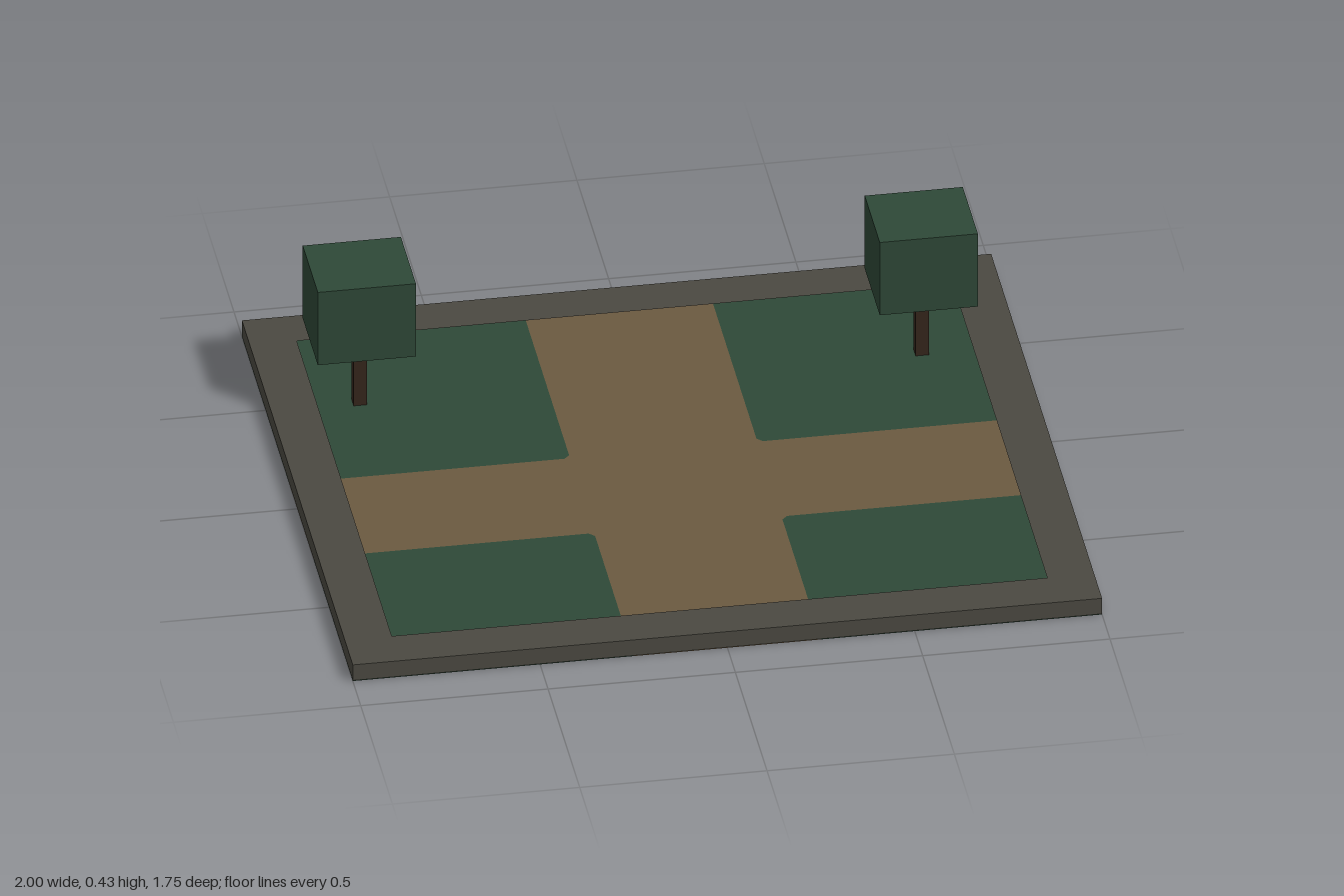
import * as THREE from 'three';

const mat = (name, color, side = THREE.FrontSide) => {
  const m = new THREE.MeshStandardMaterial({ color, side });
  m.name = name;
  return m;
};

// Shape in plan: points are [x, z]
const plan = (pts) => new THREE.Shape(pts.map(([x, z]) => new THREE.Vector2(x, -z)));
const rect = (x0, x1, z0, z1) => [[x0, z0], [x1, z0], [x1, z1], [x0, z1]];

export function createModel() {
  const group = new THREE.Group();
  const grass = mat('dark green', 0x2e4837, THREE.DoubleSide);
  const dirt = mat('dirt brown', 0x6b5a40, THREE.DoubleSide);
  const stone = mat('grey stone', 0x4b4941);
  const bark = mat('dark bark', 0x35251c);

  const add = (name, geometry, material, parent = group) => {
    const mesh = new THREE.Mesh(geometry, material);
    mesh.name = name;
    parent.add(mesh);
    return mesh;
  };

  const X = 1, Z = 0.875;               // outer half sizes
  const px = 0.25, pz0 = -0.13, pz1 = 0.25; // path edges
  const c = 0.015;                      // small cut on the lawn corners

  // Crossing dirt paths, flat on the ground
  const path = add('crossPath', new THREE.ShapeGeometry(plan([
    [-px, -Z], [px, -Z], [px, pz0 - c], [px + c, pz0], [X, pz0],
    [X, pz1], [px + c, pz1], [px, pz1 + c], [px, Z],
    [-px, Z], [-px, pz1 + c], [-px - c, pz1], [-X, pz1],
    [-X, pz0], [-px - c, pz0], [-px, pz0 - c],
  ])), dirt);
  path.rotation.x = -Math.PI / 2;

  // Four lawns between the paths
  for (const sx of [-1, 1]) {
    for (const [sz, edge] of [[-1, pz0], [1, pz1]]) {
      const lawn = add('lawn', new THREE.ShapeGeometry(plan([
        [sx * px, edge + sz * c], [sx * (px + c), edge],
        [sx * X, edge], [sx * X, sz * Z], [sx * px, sz * Z],
      ])), grass);
      lawn.rotation.x = -Math.PI / 2;
    }
  }

  // Low stone border, one ring
  const ring = plan(rect(-X, X, -Z, Z));
  ring.holes.push(plan(rect(-0.875, 0.875, -0.75, 0.75)));
  const border = add('stoneBorder', new THREE.ExtrudeGeometry(ring, { depth: 0.048, bevelEnabled: false }), stone);
  border.rotation.x = -Math.PI / 2;
  border.position.y = 0.002;

  // Two box trees at the back
  for (const s of [-1, 1]) {
    const tree = new THREE.Group();
    tree.name = s > 0 ? 'leftTree' : 'rightTree';
    tree.position.set(s * 0.75, 0, -0.5);
    add('trunk', new THREE.BoxGeometry(0.036, 0.2, 0.036), bark, tree).position.y = 0.101;
    add('canopy', new THREE.BoxGeometry(0.262, 0.225, 0.238), grass, tree).position.y = 0.3125;
    group.add(tree);
  }
  return group;
}
